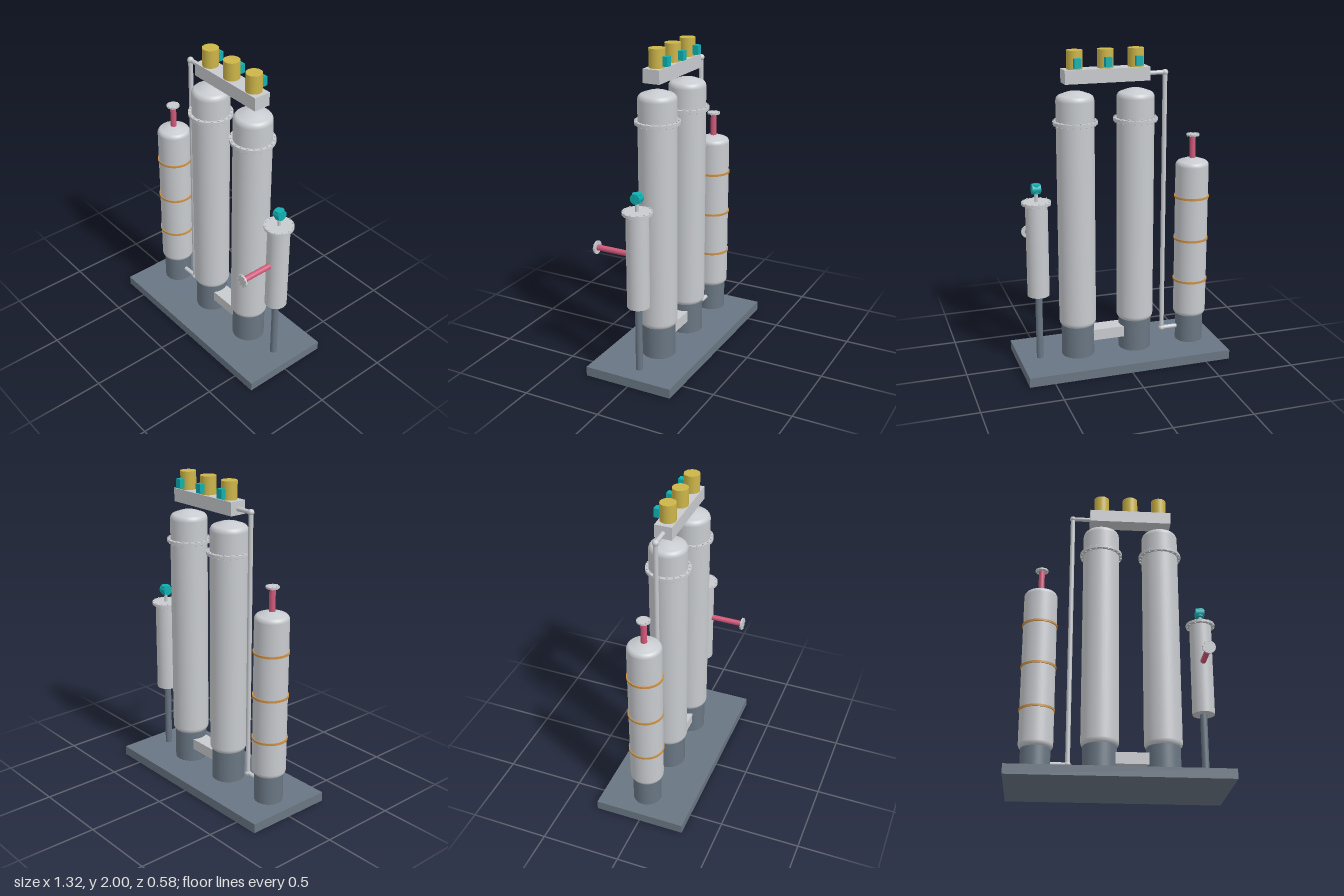
import * as THREE from 'three';

export function createModel() {
  const root = new THREE.Group();
  root.name = 'processSkid';
  const mat = (name, color) => {
    const m = new THREE.MeshStandardMaterial({ color });
    m.name = name;
    return m;
  };
  const steel = mat('steel', 0xc8cbcf);
  const slate = mat('slate', 0x697683);
  const yellow = mat('yellow', 0xcdb549);
  const teal = mat('teal', 0x10b0b2);
  const pink = mat('pink', 0xd05a7a);
  const orange = mat('orange', 0xcc9248);
  const Z = -0.012; // common centre line of all equipment

  const add = (name, geo, material, x, y, z, parent = root) => {
    const m = new THREE.Mesh(geo, material);
    m.name = name;
    m.position.set(x, y, z);
    parent.add(m);
    return m;
  };
  const box = (name, material, x0, x1, y0, y1, z0, z1) =>
    add(name, new THREE.BoxGeometry(x1 - x0, y1 - y0, z1 - z0), material,
      (x0 + x1) / 2, (y0 + y1) / 2, (z0 + z1) / 2);
  // upright cylinder between two heights
  const post = (name, material, x, z, r, y0, y1, sides = 32) =>
    add(name, new THREE.CylinderGeometry(r, r, y1 - y0, sides), material, x, (y0 + y1) / 2, z);

  // bolted disc, built around its own y axis
  const flange = (name, x, y, z, r, h, bolts, boltR, boltH) => {
    const g = new THREE.Group();
    g.name = name;
    add(name + 'Disc', new THREE.CylinderGeometry(r, r, h, 40), steel, 0, 0, 0, g);
    for (let i = 0; i < bolts; i++) {
      const a = (i / bolts) * Math.PI * 2;
      const d = r - boltR * 1.5;
      add(name + 'Bolt', new THREE.CylinderGeometry(boltR, boltR, boltH, 6), steel,
        Math.cos(a) * d, 0, Math.sin(a) * d, g);
    }
    g.position.set(x, y, z);
    root.add(g);
    return g;
  };

  // vessel shell with dished heads; knuckle arc followed by a shallow crown
  const vessel = (name, x, r, y0, y1, head) => {
    const half = [];
    const k = head * 0.62;
    for (let i = 0; i <= 5; i++) half.push([r * i * 0.15, head - (head - k) * (i / 5) ** 2]);
    for (let i = 1; i <= 6; i++) {
      const a = (i / 6) * Math.PI / 2;
      half.push([r * (0.75 + 0.25 * Math.sin(a)), k * Math.cos(a)]);
    }
    const bottom = half.map(([px, py]) => new THREE.Vector2(px, y0 - py));
    const top = half.map(([px, py]) => new THREE.Vector2(px, y1 + py)).reverse();
    add(name, new THREE.LatheGeometry([...bottom, ...top], 48), steel, x, 0, Z);
  };

  box('basePlate', slate, -0.66, 0.66, 0, 0.06, -0.29, 0.29);

  // two tall towers
  for (const x of [-0.103, 0.279]) {
    post('towerSkirt', slate, x, Z, 0.104, 0.06, 0.28, 40);
    vessel('towerShell', x, 0.1165, 0.295, 1.7, 0.058);
    flange('towerFlange', x, 1.567, Z, 0.137, 0.018, 20, 0.006, 0.032);
  }
  box('skirtBox', steel, -0.013, 0.188, 0.15, 0.222, Z - 0.054, Z + 0.054);

  // overhead header with valve actuators
  box('header', steel, -0.18, 0.352, 1.805, 1.888, Z - 0.054, Z + 0.054);
  for (const x of [-0.103, 0.088, 0.279]) {
    post('actuator', yellow, x, Z, 0.049, 1.888, 2.0);
    box('actuatorSwitch', teal, x - 0.021, x + 0.021, 1.9, 1.957, -0.092, -0.058);
  }

  // short banded vessel
  const vx = -0.484;
  post('vesselSkirt', slate, vx, Z, 0.09, 0.06, 0.26, 40);
  vessel('vesselShell', vx, 0.105, 0.27, 1.245, 0.05);
  for (const y of [0.483, 0.763, 1.043]) post('vesselBand', orange, vx, Z, 0.111, y - 0.007, y + 0.007, 48);
  post('ventPipe', pink, vx, Z, 0.019, 1.28, 1.437, 20);
  flange('ventFlange', vx, 1.441, Z, 0.041, 0.01, 8, 0.004, 0.018);

  // connecting pipe: skirt to header with ball elbows
  const px = -0.292, low = 0.153, high = 1.842;
  post('riserPipe', steel, px, Z, 0.0145, low, high, 20);
  for (const [y, x] of [[low, -0.41], [high, -0.175]]) {
    const p = add('sidePipe', new THREE.CylinderGeometry(0.0135, 0.0135, Math.abs(x - px), 20), steel, (x + px) / 2, y, Z);
    p.rotation.z = Math.PI / 2;
    add('pipeElbow', new THREE.SphereGeometry(0.02, 20, 14), steel, px, y, Z);
  }

  // filter housing on a post
  const fx = 0.53;
  post('filterPost', slate, fx, Z, 0.022, 0.06, 0.487, 20);
  post('filterBody', steel, fx, Z, 0.069, 0.487, 1.08, 40);
  flange('filterFlange', fx, 1.085, Z, 0.091, 0.016, 12, 0.005, 0.028);
  post('gaugeStem', steel, fx, Z, 0.011, 1.09, 1.155, 14);
  post('gaugeHead', teal, fx, Z, 0.028, 1.147, 1.203, 16);
  const cross = add('gaugeCross', new THREE.CylinderGeometry(0.032, 0.032, 0.053, 16), teal, fx, 1.174, Z);
  cross.rotation.z = Math.PI / 2;

  // forward nozzle of the filter
  const nozzle = add('nozzlePipe', new THREE.CylinderGeometry(0.018, 0.018, 0.225, 20), pink, fx, 0.815, 0.1525);
  nozzle.rotation.x = Math.PI / 2;
  flange('nozzleFlange', fx, 0.815, 0.267, 0.041, 0.01, 8, 0.004, 0.018).rotation.x = Math.PI / 2;

  return root;
}
